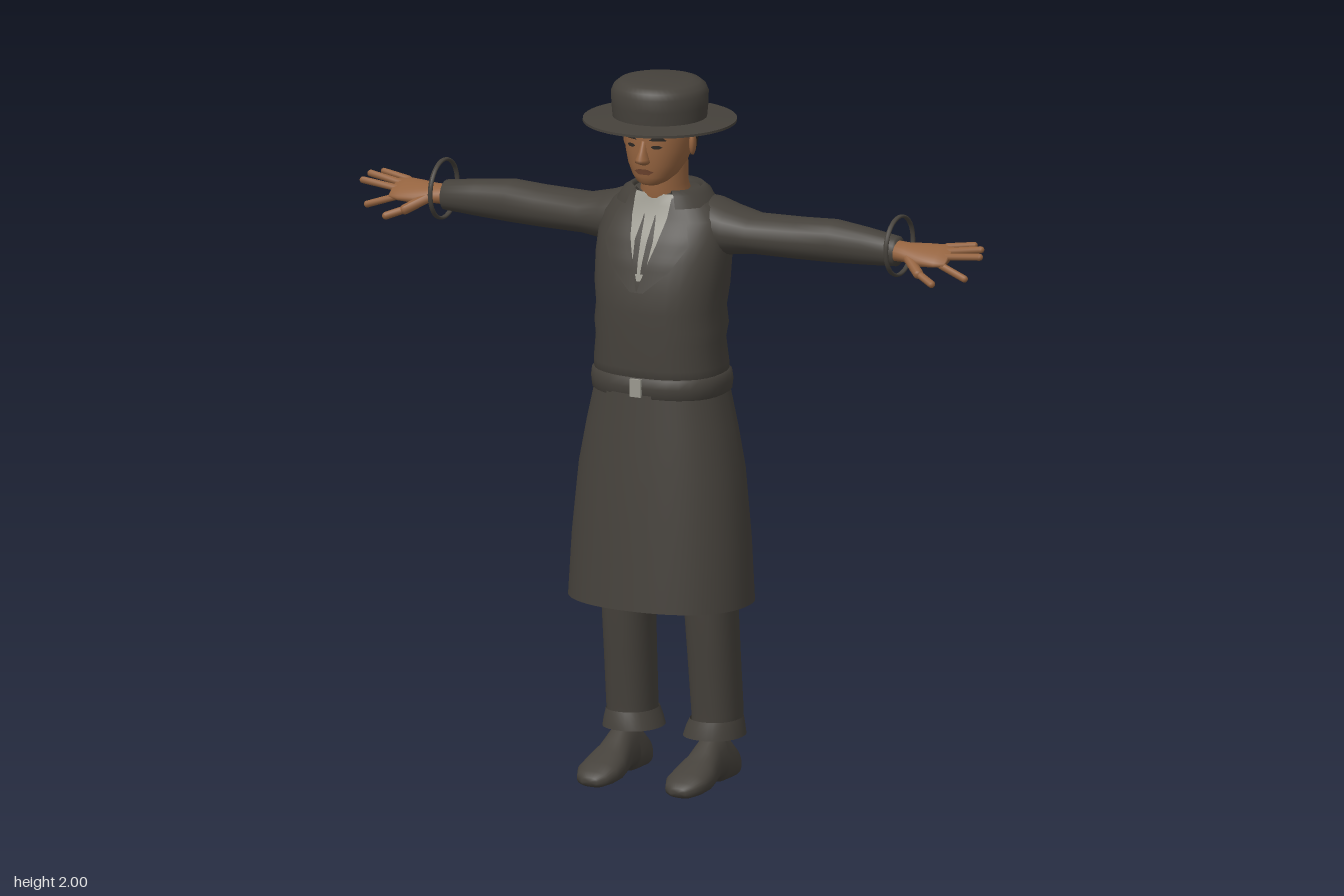
import * as THREE from 'three';
import { toCreasedNormals } from 'three/addons/utils/BufferGeometryUtils.js';

const V = (x, y, z) => new THREE.Vector3(x, y, z);
const mat = (name, color, side = THREE.FrontSide) => {
  const m = new THREE.MeshStandardMaterial({ color, side });
  m.name = name;
  return m;
};
const spow = (v, e) => Math.sign(v) * Math.pow(Math.abs(v), e);

// Cross-section: superellipse around c, spanned by u and v
function ring(c, u, v, p = 2, n = 32, t0 = 0, t1 = Math.PI * 2) {
  const closed = t1 - t0 > 6.28;
  const out = [];
  for (let i = 0; i < n + (closed ? 0 : 1); i++) {
    const t = t0 + (t1 - t0) * i / n;
    out.push(c.clone().addScaledVector(u, spow(Math.cos(t), 2 / p)).addScaledVector(v, spow(Math.sin(t), 2 / p)));
  }
  return out;
}

// Skin a list of cross-sections, optionally closing both ends
function loft(rings, caps = false, closed = true) {
  const n = rings[0].length, pts = rings.flat(), idx = [];
  for (let i = 0; i < rings.length - 1; i++) {
    for (let j = 0; j < n - (closed ? 0 : 1); j++) {
      const a = i * n + j, b = i * n + (j + 1) % n;
      idx.push(a, b, b + n, a, b + n, a + n);
    }
  }
  if (caps) [0, rings.length - 1].forEach((r, end) => {
    const c = rings[r].reduce((s, q) => s.add(q), V(0, 0, 0)).divideScalar(n);
    const k = pts.push(c) - 1;
    for (let j = 0; j < n; j++) {
      const a = r * n + j, b = r * n + (j + 1) % n;
      idx.push(...(end ? [k, a, b] : [k, b, a]));
    }
  });
  const g = new THREE.BufferGeometry().setFromPoints(pts);
  g.setIndex(idx);
  g.computeVertexNormals();
  return g;
}

// Upright body from rows of [y, half width, front z, back z, centre x]
const upRing = ([y, rx, zf, zb, cx = 0], p, n, t0, t1) =>
  ring(V(cx, y, (zf + zb) / 2), V(rx, 0, 0), V(0, 0, -(zf - zb) / 2), p, n, t0, t1);
const upLoft = (rows, p = 2, caps = false) => loft(rows.map(r => upRing(r, p)), caps);

// Front surface of an upright body at x, y
function frontZ(rows, p, x, y) {
  let i = 0;
  while (i < rows.length - 2 && rows[i + 1][0] < y) i++;
  const a = rows[i], b = rows[i + 1], k = (y - a[0]) / (b[0] - a[0]);
  const [, rx, zf, zb] = a.map((v, q) => v + (b[q] - v) * k);
  const f = Math.pow(Math.max(0, 1 - Math.pow(Math.abs(x / rx), p)), 1 / p);
  return (zf + zb) / 2 + f * (zf - zb) / 2;
}

// Thin cloth following a body, from rows of [y, x0, x1] listed top down
function patch(body, p, rows, lift) {
  const pts = [], idx = [], nc = 6, sub = 5;
  const fine = [];
  rows.slice(0, -1).forEach((r, i) => {
    for (let k = 0; k < sub; k++) fine.push(r.map((v, q) => v + (rows[i + 1][q] - v) * k / sub));
  });
  fine.push(rows[rows.length - 1]);
  fine.forEach(([y, x0, x1], i) => {
    for (let j = 0; j <= nc; j++) {
      const x = x0 + (x1 - x0) * j / nc;
      pts.push(V(x, y, frontZ(body, p, x, y) + lift));
      if (i && j) {
        const d = i * (nc + 1) + j, c = d - 1, b = d - nc - 1, a = b - 1;
        idx.push(a, c, b, b, c, d);
      }
    }
  });
  const g = new THREE.BufferGeometry().setFromPoints(pts);
  g.setIndex(idx);
  g.computeVertexNormals();
  return g;
}

function mirrored(geo) {
  const g = geo.clone().scale(-1, 1, 1), ix = g.index.array;
  for (let i = 0; i < ix.length; i += 3) [ix[i], ix[i + 1]] = [ix[i + 1], ix[i]];
  g.computeVertexNormals();
  return g;
}

function capsule(a, b, r) {
  const d = b.clone().sub(a), g = new THREE.CapsuleGeometry(r, d.length(), 4, 10);
  g.applyQuaternion(new THREE.Quaternion().setFromUnitVectors(V(0, 1, 0), d.normalize()));
  return g.translate((a.x + b.x) / 2, (a.y + b.y) / 2, (a.z + b.z) / 2);
}

export function createModel() {
  const model = new THREE.Group();
  const cloth = mat('dark cloth', 0x45413b, THREE.DoubleSide);
  const skin = mat('skin', 0x94633f);
  const hairMat = mat('hair', 0x2b2723, THREE.DoubleSide);
  const shirt = mat('grey shirt', 0x9b998f, THREE.DoubleSide);
  const lips = mat('lips', 0x6f452f);
  const add = (name, geo, m) => {
    const mesh = new THREE.Mesh(geo, m);
    mesh.name = name;
    model.add(mesh);
  };
  const pair = (name, geo, m) => {
    add('left' + name, geo, m);
    add('right' + name, mirrored(geo), m);
  };

  // Hat
  const lathe = pts => toCreasedNormals(new THREE.LatheGeometry(pts.map(q => new THREE.Vector2(...q)), 48), 0.6);
  add('hatBrim', lathe([[0, 1.884], [0.13, 1.884], [0.213, 1.88], [0.213, 1.887], [0.13, 1.894]]), cloth);
  add('hatCrown', lathe([[0.13, 1.888], [0.134, 1.93], [0.135, 1.965], [0.128, 1.982], [0.112, 1.995], [0.09, 2], [0, 2]]), cloth);

  // Head, neck and face
  const head = [[1.712, 0.025, 0.078, 0.03], [1.72, 0.042, 0.088, 0.0], [1.737, 0.06, 0.094, -0.04], [1.77, 0.078, 0.1, -0.075],
    [1.81, 0.09, 0.102, -0.1], [1.85, 0.096, 0.102, -0.112], [1.888, 0.096, 0.1, -0.112]];
  add('head', upLoft(head, 2.2, true), skin);
  add('neck', upLoft([[1.6, 0.085, 0.03, -0.13], [1.66, 0.072, 0.042, -0.117], [1.7, 0.063, 0.045, -0.105], [1.78, 0.063, 0.045, -0.1]], 2), skin);
  add('nose', upLoft([[1.775, 0.012, 0.108, 0.08], [1.783, 0.021, 0.127, 0.08], [1.792, 0.018, 0.13, 0.08],
    [1.815, 0.011, 0.117, 0.08], [1.842, 0.008, 0.105, 0.08]], 2, true), skin);
  add('mouth', patch(head, 2.2, [[1.762, -0.012, 0.012], [1.755, -0.03, 0.03], [1.746, -0.016, 0.016]], 0.004), lips);
  pair('Eye', patch(head, 2.2, [[1.832, 0.03, 0.046], [1.827, 0.024, 0.054], [1.822, 0.032, 0.046]], 0.003), hairMat);
  pair('Eyebrow', patch(head, 2.2, [[1.853, 0.028, 0.056], [1.845, 0.018, 0.064]], 0.003), hairMat);
  pair('Ear', new THREE.SphereGeometry(1, 14, 10).scale(0.01, 0.034, 0.02).rotateY(0.3).translate(0.099, 1.825, -0.005), skin);
  add('hair', loft([[1.775, 0.072, 0.07, -0.098], [1.8, 0.092, 0.09, -0.114], [1.84, 0.1, 0.1, -0.12], [1.89, 0.101, 0.1, -0.12]]
    .map((r, i) => upRing(r, 2.2, 28, 0.35 - i * 0.2, Math.PI - 0.35 + i * 0.2)), false, false), hairMat);

  // Coat body with slight wrinkles
  const torso = [[1.13, 0.186, 0.135, -0.16], [1.2, 0.188, 0.138, -0.158], [1.27, 0.18, 0.139, -0.152], [1.31, 0.186, 0.139, -0.16],
    [1.36, 0.18, 0.139, -0.158], [1.42, 0.188, 0.135, -0.165], [1.5, 0.192, 0.115, -0.165], [1.56, 0.192, 0.09, -0.165],
    [1.61, 0.185, 0.06, -0.16], [1.645, 0.155, 0.045, -0.15], [1.668, 0.12, 0.038, -0.14], [1.682, 0.085, 0.034, -0.125]];
  add('coatBody', upLoft(torso, 2.4, true), cloth);
  const gap = 0.55;
  add('coatCollar', loft([[1.64, 0.088, 0.04, -0.13], [1.685, 0.09, 0.042, -0.135], [1.693, 0.1, 0.05, -0.143], [1.68, 0.122, 0.062, -0.152],
    [1.647, 0.142, 0.075, -0.163]].map(r => upRing(r, 2.1, 36, -Math.PI / 2 + gap, Math.PI * 1.5 - gap)), false, false), cloth);
  add('shirtFront', patch(torso, 2.4, [[1.68, -0.06, 0.06], [1.6, -0.056, 0.056], [1.53, -0.034, 0.034], [1.45, -0.006, 0.006]], 0.004), shirt);
  pair('ShirtFold', patch(torso, 2.4, [[1.625, 0.016, 0.018], [1.56, 0.01, 0.028], [1.47, 0.005, 0.02]], 0.007), cloth);
  pair('Lapel', patch(torso, 2.4, [[1.672, 0.056, 0.075], [1.62, 0.054, 0.108], [1.55, 0.04, 0.13], [1.48, 0.018, 0.088], [1.42, 0, 0.02]], 0.009), cloth);

  // Coat skirt with soft folds growing toward the hem
  const skirt = [[0.525, 0.264, 0.188, -0.212], [0.7, 0.255, 0.176, -0.202], [0.9, 0.236, 0.16, -0.19], [1.02, 0.213, 0.148, -0.178], [1.14, 0.186, 0.136, -0.165]];
  add('coatSkirt', loft(skirt.map((r, i) => upRing(r, 2.3, 72).map((q, j) => {
    const t = j / 72 * Math.PI * 2, k = 1 + 0.022 * (1 - i / 4) * Math.max(0, Math.sin(t)) * Math.cos(t * 8);
    return V(q.x * k, q.y, q.z * k);
  }))), cloth);
  add('skirtOverlap', patch(skirt, 2.3, [[1.13, -0.1, 0.045], [0.527, -0.13, 0.056]], 0.006), cloth);

  // Belt and buckle
  add('belt', upLoft([[1.115, 0.185, 0.13, -0.158], [1.122, 0.194, 0.141, -0.168], [1.15, 0.197, 0.144, -0.172],
    [1.174, 0.194, 0.141, -0.168], [1.182, 0.183, 0.13, -0.155]], 2.4), cloth);
  add('buckle', new THREE.BoxGeometry(0.034, 0.05, 0.009).translate(0, 1.15, 0.146), shirt);

  // Sleeves and cuff bands, rows of [x, y, z, half height, half depth]
  const alongX = (rows, tilt = 0) => loft(rows.map(([x, y, z, ry, rz]) => ring(V(x, y, z),
    V(0, Math.cos(tilt), Math.sin(tilt)).multiplyScalar(ry), V(0, -Math.sin(tilt), Math.cos(tilt)).multiplyScalar(rz), 2.1, 24)), true);
  pair('Sleeve', alongX([[0.08, 1.59, -0.065, 0.08, 0.085], [0.14, 1.58, -0.07, 0.083, 0.092], [0.19, 1.575, -0.075, 0.069, 0.09],
    [0.26, 1.571, -0.077, 0.056, 0.08], [0.4, 1.573, -0.078, 0.058, 0.068], [0.5, 1.575, -0.085, 0.06, 0.06],
    [0.6, 1.573, -0.08, 0.052, 0.05], [0.7, 1.571, -0.073, 0.042, 0.04]]), cloth);
  pair('CuffBand', new THREE.TorusGeometry(0.082, 0.005, 8, 36).rotateY(Math.PI / 2).scale(1.5, 1, 1).translate(0.706, 1.588, -0.07), cloth);

  // Hands, tilted with the thumb side low
  pair('Palm', alongX([[0.68, 1.573, -0.072, 0.026, 0.033], [0.73, 1.572, -0.07, 0.022, 0.034], [0.78, 1.571, -0.068, 0.021, 0.045],
    [0.83, 1.572, -0.074, 0.016, 0.048], [0.86, 1.573, -0.077, 0.01, 0.044]], 0.45), skin);
  [['LittleFinger', [0.835, 1.592, -0.11], [0.915, 1.603, -0.117], 0.009],
    ['RingFinger', [0.845, 1.583, -0.091], [0.945, 1.598, -0.096], 0.01],
    ['MiddleFinger', [0.845, 1.572, -0.07], [0.955, 1.584, -0.069], 0.01],
    ['IndexFinger', [0.835, 1.557, -0.048], [0.925, 1.526, -0.036], 0.01],
    ['ThumbBase', [0.745, 1.562, -0.048], [0.795, 1.532, -0.01], 0.015],
    ['ThumbTip', [0.795, 1.532, -0.01], [0.845, 1.512, 0.008], 0.011],
  ].forEach(([name, a, b, r]) => pair(name, capsule(V(...a), V(...b), r), skin));

  // Trousers with turned hems
  pair('TrouserLeg', upLoft([[0.13, 0.066, -0.015, -0.172, 0.13], [0.2, 0.067, -0.012, -0.168, 0.132], [0.35, 0.068, 0.005, -0.155, 0.13],
    [0.52, 0.07, 0.024, -0.14, 0.128], [0.8, 0.085, 0.04, -0.13, 0.11]], 2.3), cloth);
  pair('TrouserHem', upLoft([[0.13, 0.084, 0.004, -0.178, 0.125], [0.155, 0.078, 0, -0.176, 0.127], [0.18, 0.07, -0.008, -0.172, 0.13]], 2.2), cloth);

  // Shoes, rows of [z, half width, sole y, top y]
  pair('Shoe', loft([[-0.152, 0.03, 0, 0.07], [-0.14, 0.041, 0, 0.09], [-0.1, 0.046, 0, 0.13], [-0.065, 0.046, 0, 0.155], [-0.06, 0.046, 0.014, 0.155],
    [-0.02, 0.046, 0.014, 0.135], [0.02, 0.05, 0.004, 0.105], [0.06, 0.057, 0, 0.085], [0.11, 0.056, 0, 0.064], [0.145, 0.042, 0, 0.045], [0.16, 0.022, 0.006, 0.03]]
    .map(([z, rx, y0, y1]) => ring(V(0.137, (y0 + y1) / 2, z), V(rx, 0, 0), V(0, (y1 - y0) / 2, 0), 2.5, 28)
      .map(q => V(0.137 + (q.x - 0.137) * (1.1 - 0.45 * Math.max(0, (q.y - 0.04) / 0.12)), q.y, q.z))), true), cloth);

  return model;
}
